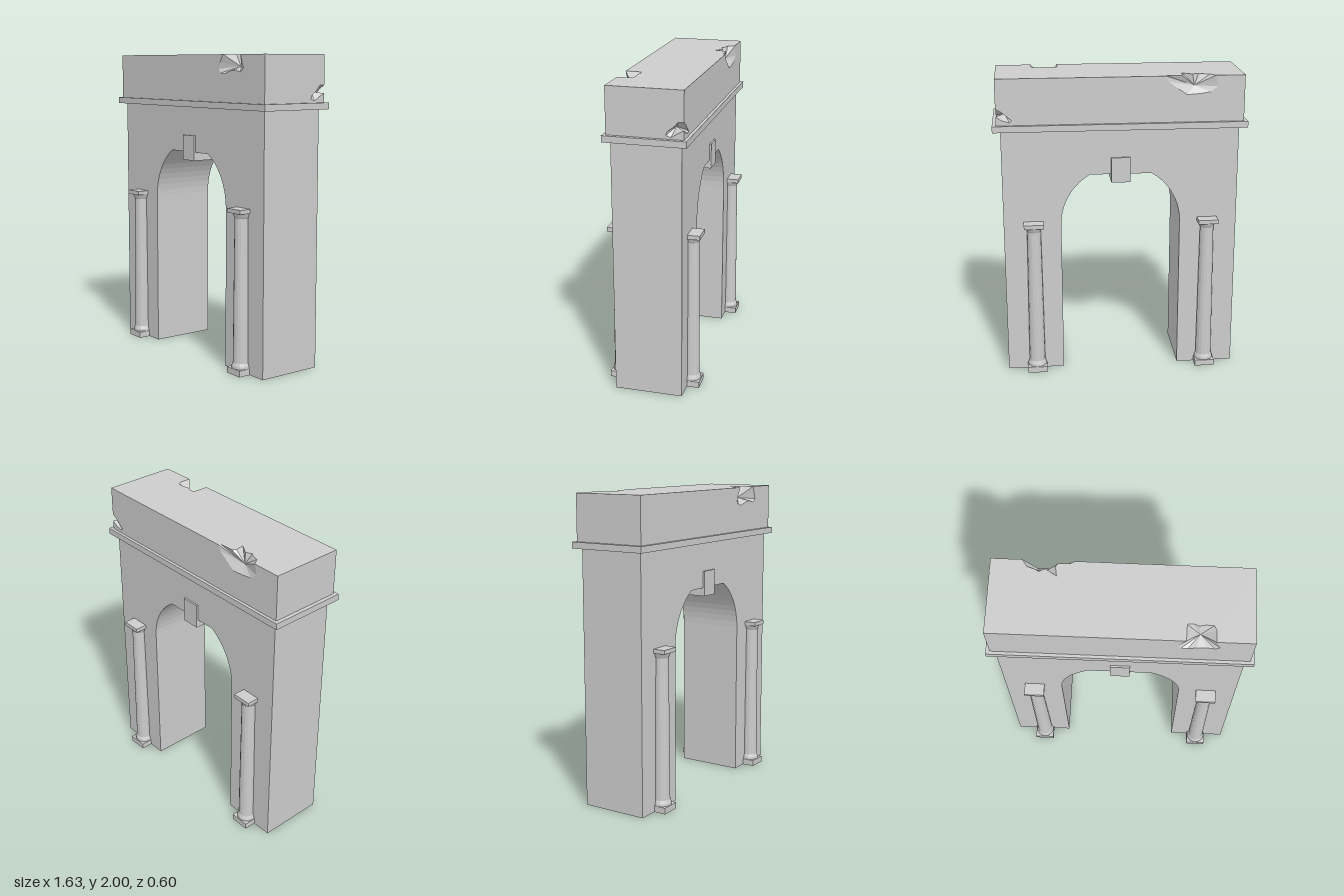
import * as THREE from 'three';

const stone = new THREE.MeshStandardMaterial({ color: 0xcccccc, flatShading: true, side: THREE.DoubleSide });

function add(parent, name, geometry, x = 0, y = 0, z = 0) {
  const mesh = new THREE.Mesh(geometry, stone);
  mesh.name = name;
  mesh.position.set(x, y, z);
  parent.add(mesh);
  return mesh;
}

function box(parent, name, w, y0, y1, d, x = 0, z = 0) {
  return add(parent, name, new THREE.BoxGeometry(w, y1 - y0, d), x, (y0 + y1) / 2, z);
}

function fromTriangles(points) {
  const geometry = new THREE.BufferGeometry().setFromPoints(points);
  geometry.computeVertexNormals();
  return geometry;
}

// Flat face through 3D points; project gives 2D coordinates, outward its facing
function flatFace(points, project, outward) {
  const triangles = THREE.ShapeUtils.triangulateShape(points.map(project), []);
  const out = [];
  for (const t of triangles) {
    const [a, b, c] = t.map((i) => points[i]);
    const n = b.clone().sub(a).cross(c.clone().sub(a));
    out.push(...(n.dot(outward) > 0 ? [a, b, c] : [a, c, b]));
  }
  return fromTriangles(out);
}

// Broken hollow: fan from the rim to a deep point
function hollow(rim, deep) {
  const out = [];
  rim.forEach((p, i) => out.push(p, deep, rim[(i + 1) % rim.length]));
  return fromTriangles(out);
}

// Pillars and round arch with a flattened crown
function archBody() {
  const shape = new THREE.Shape();
  shape.moveTo(-0.765, 0);
  shape.lineTo(-0.39, 0);
  const radius = 0.39, spring = 1.03, cut = 1.03, steps = 10;
  for (let i = 0; i <= steps; i++) {
    const a = Math.PI - (i / steps) * cut;
    shape.lineTo(radius * Math.cos(a), spring + radius * Math.sin(a));
  }
  for (let i = steps; i >= 0; i--) {
    const a = (i / steps) * cut;
    shape.lineTo(radius * Math.cos(a), spring + radius * Math.sin(a));
  }
  shape.lineTo(0.39, 0);
  shape.lineTo(0.765, 0);
  shape.lineTo(0.765, 1.67);
  shape.lineTo(-0.765, 1.67);
  return new THREE.ExtrudeGeometry(shape, { depth: 0.44, bevelEnabled: false }).translate(0, 0, -0.22);
}

function column(x, z) {
  const group = new THREE.Group();
  group.name = 'column';
  box(group, 'columnPlinth', 0.13, 0, 0.04, 0.13);
  const profile = [[0.062, 0.04], [0.061, 0.055], [0.053, 0.075], [0.051, 0.35], [0.045, 0.995],
    [0.05, 1.005], [0.06, 1.03]].map(([r, y]) => new THREE.Vector2(r, y));
  add(group, 'columnShaft', new THREE.LatheGeometry(profile, 16));
  box(group, 'columnCapital', 0.13, 1.028, 1.055, 0.13);
  group.position.set(x, 0, z);
  return group;
}

// Attic block with three broken edges
function attic() {
  const group = new THREE.Group();
  group.name = 'attic';
  const X = 0.79, Z = 0.24, B = 1.7, T = 2;
  const v = (x, y, z) => new THREE.Vector3(x, y, z);
  const onFront = ([x, y]) => v(x, y, Z);
  const onBack = ([x, y]) => v(x, y, -Z);
  const onTop = ([x, z]) => v(x, T, z);
  const onRight = ([z, y]) => v(X, y, z);

  // Break lines, each running from one end on an edge to the other
  const frontBreak = [[0.385, T], [0.355, 1.95], [0.34, 1.91], [0.36, 1.885], [0.4, 1.88], [0.45, 1.897],
    [0.51, 1.905], [0.56, 1.892], [0.587, 1.915], [0.575, 1.955], [0.56, T]].map(onFront);
  const frontTopBreak = [[0.56, 0.165], [0.545, 0.137], [0.5, 0.135], [0.46, 0.143], [0.42, 0.13],
    [0.388, 0.135]].map(onTop);
  const backBreak = [[-0.285, T], [-0.3, 1.965], [-0.36, 1.92], [-0.42, 1.88], [-0.5, 1.885],
    [-0.57, 1.895], [-0.615, 1.93], [-0.61, 1.97], [-0.6, T]].map(onBack);
  const backTopBreak = [[-0.57, -0.195], [-0.52, -0.18], [-0.5, -0.165], [-0.46, -0.185], [-0.39, -0.14],
    [-0.4, -0.2], [-0.385, -0.223], [-0.29, -0.225]].map(onTop);
  const cornerTop = v(X, 1.81, -Z), cornerLow = v(X, 1.76, -Z);
  const rightBreak = [[-0.205, 1.81], [-0.175, 1.775], [-0.137, 1.75], [-0.13, 1.725],
    [-0.16, 1.715], [-0.2, 1.74]].map(onRight);
  const cornerBackBreak = [[0.75, 1.735], [0.705, 1.722], [0.69, 1.735], [0.72, 1.76], [0.755, 1.79]].map(onBack);

  const xy = (p) => new THREE.Vector2(p.x, p.y);
  const xz = (p) => new THREE.Vector2(p.x, p.z);
  const zy = (p) => new THREE.Vector2(p.z, p.y);
  const reversed = (list) => [...list].reverse();

  add(group, 'atticFront', flatFace([v(-X, B, Z), v(-X, T, Z), ...frontBreak, v(X, T, Z), v(X, B, Z)],
    xy, v(0, 0, 1)));
  add(group, 'atticBack', flatFace([v(-X, B, -Z), v(X, B, -Z), cornerLow, ...cornerBackBreak, cornerTop,
    v(X, T, -Z), ...backBreak, v(-X, T, -Z)], xy, v(0, 0, -1)));
  add(group, 'atticTop', flatFace([v(-X, T, Z), frontBreak[0], ...reversed(frontTopBreak), frontBreak.at(-1),
    v(X, T, Z), v(X, T, -Z), backBreak[0], ...reversed(backTopBreak), backBreak.at(-1), v(-X, T, -Z)],
    xz, v(0, 1, 0)));
  add(group, 'atticRightEnd', flatFace([v(X, B, Z), v(X, T, Z), v(X, T, -Z), cornerTop, ...rightBreak, cornerLow,
    v(X, B, -Z)], zy, v(1, 0, 0)));
  add(group, 'atticLeftEnd', flatFace([v(-X, B, Z), v(-X, T, Z), v(-X, T, -Z), v(-X, B, -Z)], zy, v(-1, 0, 0)));

  add(group, 'frontBreak', hollow([...frontBreak, ...frontTopBreak], v(0.47, 1.925, 0.165)));
  add(group, 'backBreak', hollow([...backBreak, ...backTopBreak], v(-0.47, 1.93, -0.195)));
  add(group, 'cornerBreak', hollow([cornerTop, ...rightBreak, cornerLow, ...cornerBackBreak], v(0.735, 1.77, -0.18)));
  return group;
}

export function createModel() {
  const model = new THREE.Group();
  model.name = 'triumphalArch';
  add(model, 'archBody', archBody());
  box(model, 'keystone', 0.124, 1.31, 1.475, 0.464);
  box(model, 'cornice', 1.63, 1.662, 1.703, 0.52);
  model.add(attic());
  for (const x of [-0.57, 0.57]) for (const z of [-0.235, 0.235]) model.add(column(x, z));
  return model;
}
